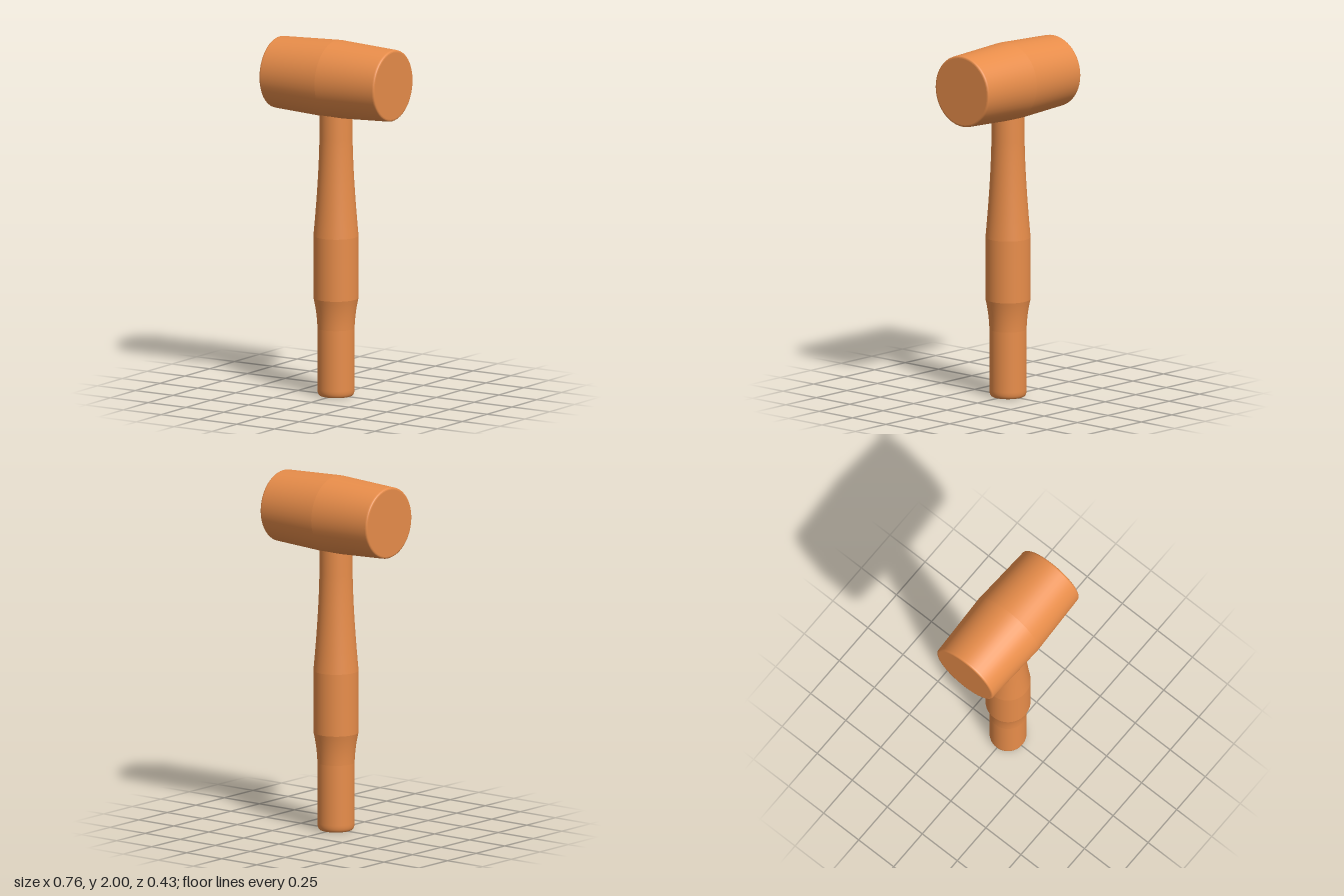
import * as THREE from 'three';
import { mergeGeometries } from 'three/addons/utils/BufferGeometryUtils.js';

const SEGMENTS = 48;
const v = (x, y) => new THREE.Vector2(x, y);

// Sampled quadratic curve for flares and rounded edges
const curve = (a, b, c, n = 8) => new THREE.QuadraticBezierCurve(a, b, c).getPoints(n);

// Turned solid: each section is smooth in itself, with a crisp edge between sections
function turned(name, sections, material) {
  const parts = sections.map((points) => new THREE.LatheGeometry(points, SEGMENTS));
  const mesh = new THREE.Mesh(mergeGeometries(parts), material);
  mesh.name = name;
  return mesh;
}

export function createModel() {
  const group = new THREE.Group();
  group.name = 'mallet';
  const wood = new THREE.MeshStandardMaterial({ color: 0xe88d4a });

  // Handle: rounded butt, slim grip, swollen middle, tapering neck that runs into the head
  group.add(turned('handle', [
    [v(0, 0), v(0.088, 0)],
    [...curve(v(0.088, 0), v(0.103, 0.004), v(0.103, 0.04), 6), v(0.103, 0.38)],
    curve(v(0.103, 0.38), v(0.106, 0.47), v(0.125, 0.55)),
    [v(0.125, 0.55), v(0.125, 0.9)],
    [...curve(v(0.125, 0.9), v(0.095, 1.23), v(0.092, 1.45), 10), v(0.091, 1.7)],
  ], wood));

  // Head: barrel of two tapered halves with softened rims, laid along x
  const half = 0.38, rim = 0.2, belly = 0.217, soft = 0.012;
  const head = turned('head', [
    [v(0, -half), v(rim - soft, -half)],
    curve(v(rim - soft, -half), v(rim, -half), v(rim, -half + soft), 4),
    [v(rim, -half + soft), v(belly, 0)],
    [v(belly, 0), v(rim, half - soft)],
    curve(v(rim, half - soft), v(rim, half), v(rim - soft, half), 4),
    [v(rim - soft, half), v(0, half)],
  ], wood);
  head.rotation.z = -Math.PI / 2;
  head.position.y = 2 - belly;
  group.add(head);

  return group;
}
